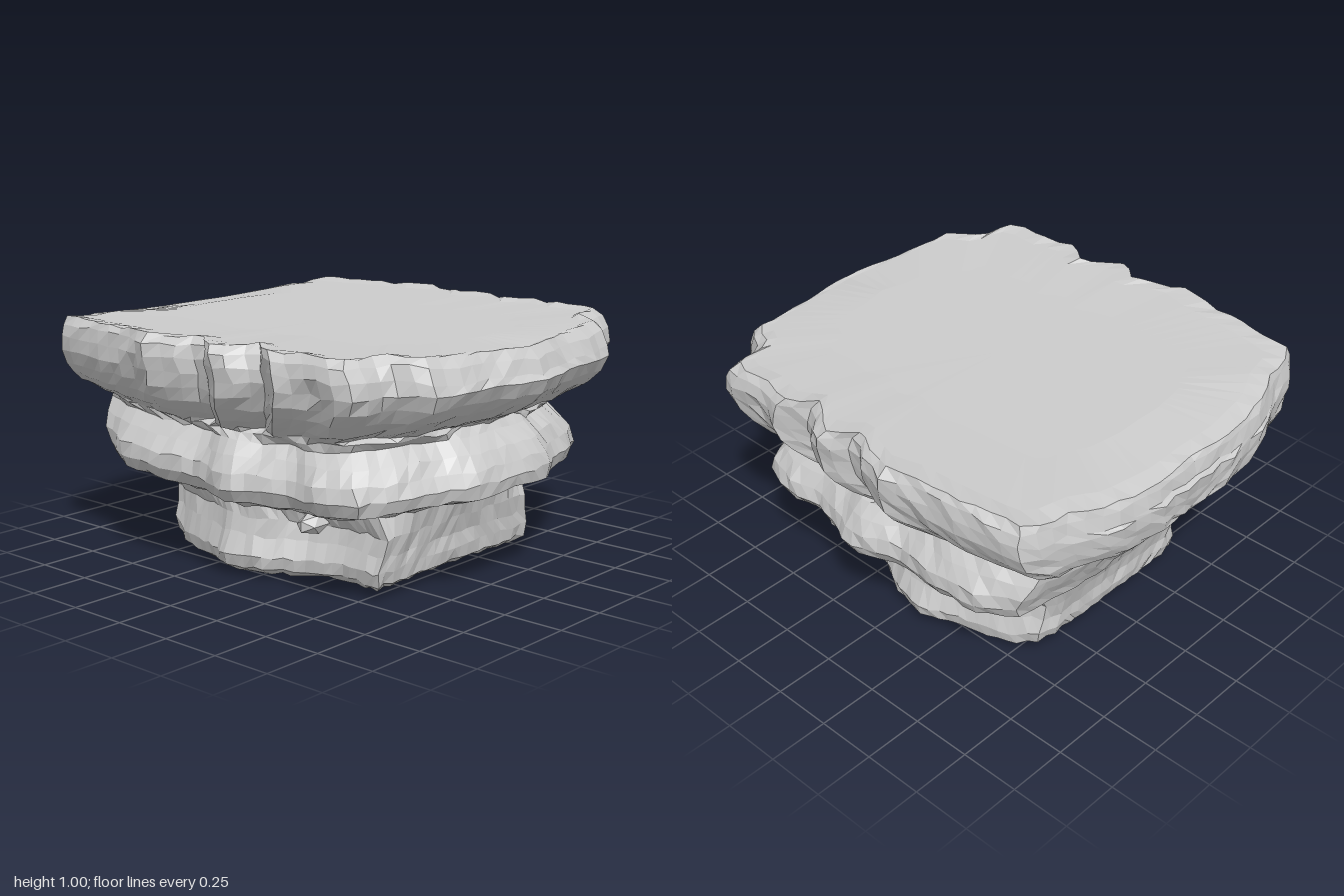
import * as THREE from 'three';

const HALF = 50; // segments along half an outline
const rock = () => new THREE.MeshStandardMaterial({ color: 0xcccccc, flatShading: true, side: THREE.DoubleSide });

// Half outlines (x, z) from the +x end round to the -x end; the other half is mirrored in z
const OUTLINES = {
  base: [[.57, 0], [.57, .25], [.58, .48], [.48, .46], [.35, .45], [.2, .49], [.05, .58], [-.1, .61],
    [-.25, .55], [-.42, .5], [-.6, .42], [-.62, .34], [-.62, 0]],
  lowWaist: [[.61, 0], [.6, .28], [.56, .45], [.4, .46], [.2, .49], [0, .55], [-.2, .54], [-.42, .52],
    [-.6, .47], [-.66, .35], [-.68, 0]],
  middle: [[.87, 0], [.86, .22], [.78, .38], [.73, .56], [.65, .7], [.5, .74], [.35, .71], [.2, .75], [.1, .8],
    [0, .78], [-.12, .73], [-.35, .76], [-.55, .75], [-.7, .67], [-.74, .4], [-.76, 0]],
  highWaist: [[.73, 0], [.72, .3], [.66, .5], [.57, .64], [.3, .67], [0, .68], [-.35, .69], [-.65, .68],
    [-.8, .56], [-.92, .3], [-.94, 0]],
  slab: [[.99, 0], [.95, .2], [.935, .4], [.9, .57], [.77, .64], [.755, .8], [.7, .835], [.55, .815], [.4, .855],
    [.27, .77], [.17, .87], [.1, .89], [0, .79], [-.1, .86], [-.23, .9], [-.35, .86], [-.6, .84], [-.83, .81],
    [-.88, .74], [-.9, .62], [-.97, .47], [-1, .2], [-.995, 0]],
};

// Layers from the ground up: outline, x scale, z scale, height, sag, lean of the -x face
const RINGS = [
  ['base', .55, .5, .03, 0, 0], ['base', .9, .88, .02, 0, 0], ['base', .98, .98, .05, 0, 0],
  ['base', 1, 1, .1, 0, 0], ['base', 1, .95, .18, 0, 0], ['base', 1.03, .92, .25, 0, 0],
  ['lowWaist', 1, 1, .32, .07, 0],
  ['middle', .9, .87, .345, .08, 0], ['middle', .99, .96, .375, .07, 0], ['middle', 1, 1, .43, .06, .02],
  ['middle', .98, .99, .49, .05, .07], ['middle', .95, .94, .55, .05, .14], ['middle', .9, .89, .6, .06, .2],
  ['highWaist', 1, 1, .63, .06, 0],
  ['slab', .87, .82, .65, .05, 0], ['slab', .92, .88, .69, .03, 0], ['slab', .96, .935, .745, .015, 0],
  ['slab', .985, .97, .8, 0, 0], ['slab', 1, .99, .855, 0, 0], ['slab', .99, 1, .915, 0, -.015],
  ['slab', .975, .995, .965, 0, -.025], ['slab', .955, .965, .997, -.01, -.035],
  ['slab', .9, .88, .99, -.01, 0], ['slab', .7, .55, .98, 0, 0],
];
// x about which each outline is scaled
const PIVOT = { base: 0, lowWaist: 0, middle: -.3, highWaist: 0, slab: -.8 };

// Repeatable noise in -0.5..0.5
function noise(a, b) {
  const s = Math.sin(a * 127.1 + b * 311.7) * 43758.5453;
  return s - Math.floor(s) - .5;
}

// Evenly spaced points along a half outline
function resample(points) {
  const path = new THREE.CurvePath();
  for (let i = 1; i < points.length; i++) {
    path.add(new THREE.LineCurve(new THREE.Vector2(...points[i - 1]), new THREE.Vector2(...points[i])));
  }
  return Array.from({ length: HALF + 1 }, (_, i) => path.getPoint(i / HALF));
}

function ringPoints([name, sx, sz, y, sag, lean], row) {
  const cap = row > 21 || row < 1;
  const pivot = cap ? 0 : PIVOT[name];
  const rough = cap ? 0 : .014;
  const half = resample(OUTLINES[name]).map((p, i) => {
    const side = THREE.MathUtils.smoothstep(-p.x, .45, .75) * (1 - .6 * p.y);
    const x = pivot + (p.x - pivot) * sx - lean * side + rough * noise(i, row);
    const z = p.y * sz * (1 + rough * 1.5 * noise(i + 50, row));
    let h = y + sag * (x - .1) ** 2 + rough * noise(i + 90, row);
    if (row < 4) h += .03 * x + .05 * THREE.MathUtils.smoothstep(-x, .48, .62); // underside lifts at both ends
    if (name === 'slab' && row > 18) h -= .05 * THREE.MathUtils.smoothstep(Math.abs(x), .8, 1);
    return [x, THREE.MathUtils.clamp(h, 0, 1.01), z];
  });
  const mirrored = half.slice(1, -1).reverse().map(([x, h, z]) => [x, h, -z]);
  return [...half, ...mirrored];
}

// Loft the layers into one closed skin
function stackGeometry() {
  const n = HALF * 2;
  const position = [], index = [];
  RINGS.forEach((ring, row) => ringPoints(ring, row).forEach(p => position.push(...p)));
  for (let r = 0; r < RINGS.length - 1; r++) {
    for (let i = 0; i < n; i++) {
      const a = r * n + i, b = r * n + (i + 1) % n, c = a + n, d = b + n;
      // flip the diagonal on the mirrored half so both halves match
      if (i < HALF) index.push(a, c, b, b, c, d);
      else index.push(a, d, b, a, c, d);
    }
  }
  // close underside and top
  const bottom = position.length / 3, top = bottom + 1, last = (RINGS.length - 1) * n;
  position.push(0, .03, 0, 0, .978, 0);
  for (let i = 0; i < n; i++) {
    const j = (i + 1) % n;
    index.push(bottom, i, j, top, last + j, last + i);
  }
  const geometry = new THREE.BufferGeometry();
  geometry.setAttribute('position', new THREE.Float32BufferAttribute(position, 3));
  geometry.setIndex(index);
  geometry.computeVertexNormals();
  return geometry;
}

export function createModel() {
  const model = new THREE.Group();
  model.name = 'layeredRock';

  const stack = new THREE.Mesh(stackGeometry(), rock());
  stack.name = 'rockLayers';
  model.add(stack);

  // Small nubs on the lower layer, front and back
  for (const side of [1, -1]) {
    const nub = new THREE.Mesh(new THREE.IcosahedronGeometry(.05, 0), rock());
    nub.name = side > 0 ? 'frontNub' : 'backNub';
    nub.scale.set(1.1, .85, 1.6);
    nub.position.set(.26, .265, side * .49);
    model.add(nub);
  }
  return model;
}
